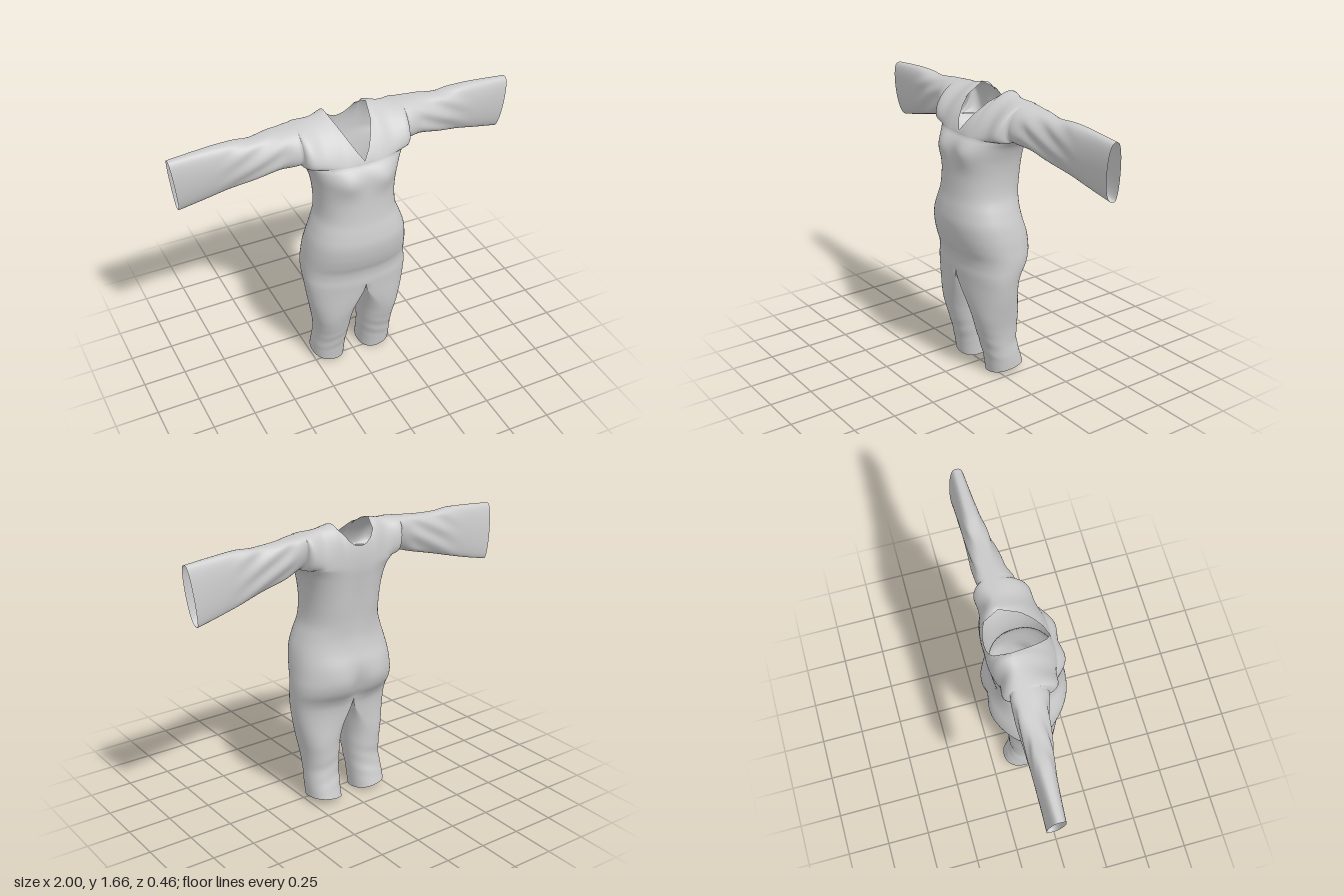
import * as THREE from 'three';

const RING = 72, QUARTER = RING / 4, N = 2.3;
const CROTCH = 0.64, CHEST = 1.44;
const lerp = THREE.MathUtils.lerp, smooth = THREE.MathUtils.smoothstep;

// Body rows: height, half width, front z, back z
const BODY = [
  [0, 0.25, 0.045, -0.17], [0.1, 0.25, 0.06, -0.147], [0.2, 0.245, 0.085, -0.128],
  [0.3, 0.252, 0.115, -0.13], [0.4, 0.27, 0.14, -0.133], [0.5, 0.29, 0.157, -0.136],
  [0.6, 0.305, 0.168, -0.148], [0.65, 0.31, 0.172, -0.168], [0.7, 0.312, 0.172, -0.2],
  [0.75, 0.311, 0.18, -0.217], [0.8, 0.306, 0.2, -0.222], [0.87, 0.298, 0.22, -0.216],
  [0.95, 0.282, 0.23, -0.195], [1.02, 0.258, 0.222, -0.185], [1.1, 0.23, 0.206, -0.188],
  [1.2, 0.225, 0.196, -0.198], [1.3, 0.237, 0.19, -0.206], [1.37, 0.258, 0.183, -0.212],
  [1.41, 0.279, 0.168, -0.216], [CHEST, 0.31, 0.145, -0.217],
];
// Leg rows: height, inner x
const INSEAM = [[0, 0.055], [0.1, 0.052], [0.2, 0.045], [0.3, 0.036], [0.4, 0.025], [0.5, 0.015], [0.64, 0.004]];
// Sleeve and shoulder rows: x, top y, bottom y, bottom z, front bulge, back bulge
const ARM = [
  [0, 1.667, CHEST, -0.036, 0, 0], [0.122, 1.667, CHEST, -0.036, 0, 0],
  [0.2, 1.65, CHEST, -0.036, 0.02, 0.005], [0.31, 1.638, CHEST, -0.036, 0.1, 0.09],
  [0.42, 1.627, 1.414, -0.075, 0.1, 0.075], [0.56, 1.615, 1.38, -0.095, 0.09, 0.057],
  [0.7, 1.624, 1.346, -0.11, 0.077, 0.045], [0.85, 1.616, 1.31, -0.12, 0.067, 0.036],
  [1, 1.603, 1.277, -0.128, 0.06, 0.03],
];

// Smooth interpolation through table rows
function sample(table, t) {
  const last = table.length - 1;
  let i = 0;
  while (i < last - 1 && t > table[i + 1][0]) i++;
  const slope = (k, c) => {
    const a = table[Math.max(k - 1, 0)], b = table[Math.min(k + 1, last)];
    return (b[c] - a[c]) / (b[0] - a[0]);
  };
  const a = table[i], b = table[i + 1], h = b[0] - a[0], s = (t - a[0]) / h;
  return a.slice(1).map((v, k) => {
    const c = k + 1, s2 = s * s, s3 = s2 * s;
    return (2 * s3 - 3 * s2 + 1) * v + (s3 - 2 * s2 + s) * h * slope(i, c)
      + (3 * s2 - 2 * s3) * b[c] + (s3 - s2) * h * slope(i + 1, c);
  });
}

// Superellipse coordinates of ring position i
function ringPoint(i) {
  const a = (i / RING) * Math.PI * 2;
  const f = (v) => (Math.abs(v) < 1e-9 ? 0 : Math.sign(v) * Math.abs(v) ** (2 / N));
  return [f(Math.sin(a)), f(Math.cos(a))];
}

// Soft chest, seat and cloth folds
function shape([x, y, z]) {
  const ax = Math.abs(x), g = (u, v, a, b) => Math.exp(-(u * u) / a - (v * v) / b);
  const front = smooth(z, 0, 0.12), back = smooth(-z, 0.05, 0.17);
  z += front * 0.026 * g(ax - 0.11, y - 1.355, 0.006, 0.006);
  z -= back * 0.012 * g(ax - 0.13, y - 0.78, 0.008, 0.012);
  z += back * 0.025 * g(x, y - 0.73, 0.0015, 0.01);
  z += back * 0.015 * g(x, y - 1.2, 0.003, 0.04);
  z += 0.005 * Math.sin(60 * (y + 0.55 * ax)) * smooth(ax, 0.34, 0.44) * (1 - smooth(ax, 0.55, 0.8));
  z += 0.0015 * Math.sin(70 * y + 25 * ax) * smooth(y, 0.06, 0.14) * (1 - smooth(y, 0.2, 0.34));
  return [x, y, z];
}

// Grid surface from a point rule
function sheet(nu, nv, point, mirror = 1, flip = false) {
  const pos = [], idx = [], turn = flip !== (mirror < 0);
  for (let j = 0; j <= nv; j++) {
    for (let i = 0; i <= nu; i++) {
      const [x, y, z] = shape(point(i, j / nv));
      pos.push(x * mirror, y, z);
    }
  }
  for (let j = 0; j < nv; j++) {
    for (let i = 0; i < nu; i++) {
      const a = j * (nu + 1) + i, b = a + 1, c = a + nu + 1, d = c + 1;
      idx.push(...(turn ? [a, c, b, b, c, d] : [a, b, c, b, d, c]));
    }
  }
  const geo = new THREE.BufferGeometry();
  geo.setAttribute('position', new THREE.Float32BufferAttribute(pos, 3));
  geo.setIndex(idx);
  geo.computeVertexNormals();
  return geo;
}

function torsoPoint(i, v) {
  const y = lerp(CROTCH, CHEST, v), [w, zf, zb] = sample(BODY, y), [s, c] = ringPoint(i);
  return [w * s, y, (zf + zb) / 2 + ((zf - zb) / 2) * c];
}

// Half of the torso ring at the top, turning into a round leg with a slanted hem
function legPoint(i, v) {
  const y = CROTCH * v, [w, zf, zb] = sample(BODY, y), [inner] = sample(INSEAM, y);
  const [s, c] = ringPoint(i), round = smooth(CROTCH - y, 0, 0.3);
  const x = lerp(Math.max(0, w * s), (w + inner) / 2 + ((w - inner) / 2) * s, round);
  const hem = 0.025 * (1 + 0.6 * s - 0.6 * c) * Math.max(0, 1 - y / 0.3) ** 2;
  return [x, y + hem, (zf + zb) / 2 + ((zf - zb) / 2) * c];
}

// Columns across the shoulder follow the chest ring, then run down the sleeve
const SLEEVE_COLS = 44, ARMPIT = 0.31, NECK = ARMPIT * ringPoint(4)[0];
function armPoint(i, v, front) {
  const onBody = i <= QUARTER;
  const x = onBody ? ARMPIT * ringPoint(i)[0] : lerp(ARMPIT, 1, (i - QUARTER) / SLEEVE_COLS);
  const [top, low, lowZ, bulgeF, bulgeB] = sample(ARM, x);
  const e = front ? 1.3 : 0.8, k = smooth(x, NECK, ARMPIT);
  let p = v;
  if (x < NECK - 1e-6) {
    // Neckline: a V in front, a shallow scoop behind
    const r = x / NECK;
    const edge = front ? lerp(1.457, top, r ** 1.1) : lerp(1.55, top, r ** 2.2);
    p *= (Math.asin(((edge - low) / (top - low)) ** (1 / e)) * 2) / Math.PI;
  }
  const q = (p * Math.PI) / 2, sn = Math.sin(q), cs = Math.max(0, Math.cos(q));
  const rise = lerp(sn ** e, (1 - Math.cos(p * Math.PI)) / 2, k);
  const [, , zf, zb] = BODY[BODY.length - 1];
  const base = onBody
    ? (zf + zb) / 2 + ((zf - zb) / 2) * ringPoint(i)[1] * (front ? 1 : -1)
    : lowZ;
  const ridge = -0.1, round = Math.max(0, Math.sin(p * Math.PI)) ** 0.7;
  const z = ridge + (base - ridge) * cs ** lerp(e, 1.2, k) + round * (front ? bulgeF : -bulgeB);
  // Slanted cuff
  return [x - 0.035 * (1 - rise) * smooth(x, 0.4, 1), low + (top - low) * rise, z];
}

// Share normals where parts meet so the cloth reads as one piece
function weldNormals(geos) {
  const sums = new Map();
  const each = (fn) => geos.forEach((g) => {
    const p = g.attributes.position, n = g.attributes.normal;
    for (let i = 0; i < p.count; i++) {
      const key = [p.getX(i), p.getY(i), p.getZ(i)].map((c) => Math.round(c * 5000)).join();
      fn(key, n, i);
    }
  });
  each((key, n, i) => {
    if (!sums.has(key)) sums.set(key, new THREE.Vector3());
    sums.get(key).add(new THREE.Vector3().fromBufferAttribute(n, i));
  });
  each((key, n, i) => {
    const s = sums.get(key).clone();
    if (s.length() > 0.3) n.setXYZ(i, ...s.normalize().toArray());
  });
}

export function createModel() {
  const group = new THREE.Group();
  group.name = 'jumpsuit';
  const material = new THREE.MeshStandardMaterial({ color: 0xcccccc, side: THREE.DoubleSide });
  const parts = { torso: sheet(RING, 60, torsoPoint) };
  for (const [side, m] of [['left', 1], ['right', -1]]) {
    const cols = QUARTER + SLEEVE_COLS;
    parts[side + 'Leg'] = sheet(RING, 60, legPoint, m);
    parts[side + 'SleeveFront'] = sheet(cols, 28, (i, v) => armPoint(i, v, true), m);
    parts[side + 'SleeveBack'] = sheet(cols, 28, (i, v) => armPoint(i, v, false), m, true);
  }
  weldNormals(Object.values(parts));
  for (const [name, geo] of Object.entries(parts)) {
    const mesh = new THREE.Mesh(geo, material);
    mesh.name = name;
    group.add(mesh);
  }
  return group;
}
